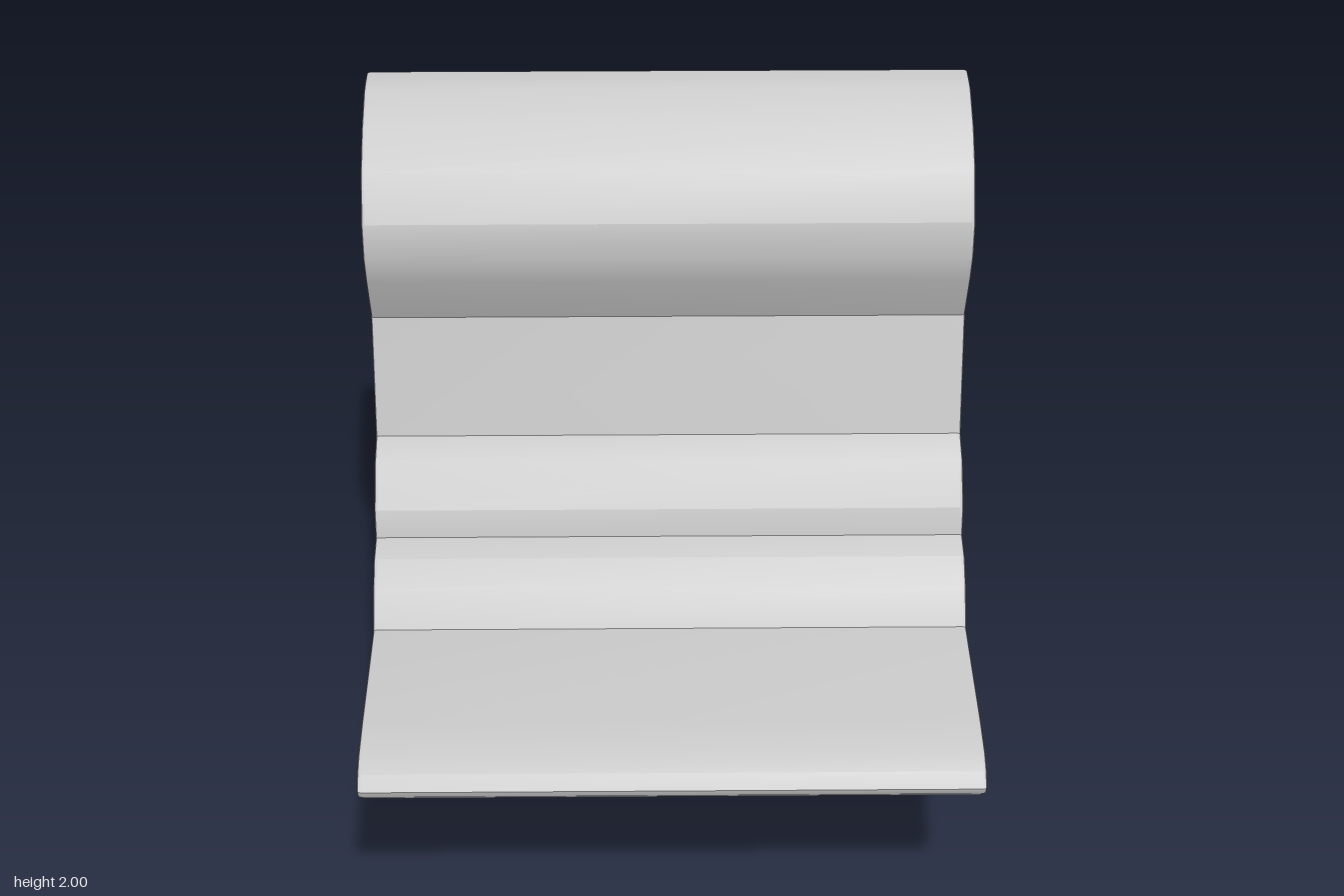
import * as THREE from 'three';
import { toCreasedNormals } from 'three/addons/utils/BufferGeometryUtils.js';

const WIDTH = 1.6;
const BEVEL = 0.01;

// Side profile as [z, y], counter-clockwise, grouped by part of the moulding
const foot = [[-0.685, 0.015], [-0.67, 0], [-0.27, 0], [-0.255, 0.02], [-0.02, 0.38]];
const ledge = [
  [0.53, 0.535], [0.63, 0.585], [0.68, 0.63], [0.686, 0.65],
  [0.655, 0.683], [0.60, 0.703], [0.48, 0.712], [0.08, 0.715],
];
const lowerRoll = [[0.02, 0.80], [-0.05, 0.857], [-0.13, 0.872]];
const upperRoll = [[-0.143, 0.952], [-0.23, 1.052], [-0.31, 1.085]];
const neck = [[-0.385, 1.415]];
const crown = [
  [-0.317, 1.56], [-0.29, 1.64], [-0.294, 1.745], [-0.365, 1.86],
  [-0.46, 1.94], [-0.58, 1.995], [-0.63, 2], [-0.675, 2], [-0.685, 1.99],
];

export function createModel() {
  const group = new THREE.Group();
  group.name = 'mouldedShelf';

  const profile = [...foot, ...ledge, ...lowerRoll, ...upperRoll, ...neck, ...crown];
  const shape = new THREE.Shape(profile.map(([z, y]) => new THREE.Vector2(z, y)));

  // Extrude across the width, with a fine bevel round both end faces
  const extruded = new THREE.ExtrudeGeometry(shape, {
    depth: WIDTH - 2 * BEVEL,
    bevelEnabled: true,
    bevelThickness: BEVEL,
    bevelSize: BEVEL,
    bevelOffset: -BEVEL,
    bevelSegments: 2,
  });
  extruded.translate(0, 0, BEVEL - WIDTH / 2);
  extruded.rotateY(-Math.PI / 2);

  const moulding = new THREE.Mesh(
    toCreasedNormals(extruded, 0.6),
    new THREE.MeshStandardMaterial({ color: 0xcccccc }),
  );
  moulding.name = 'moulding';
  group.add(moulding);
  return group;
}
